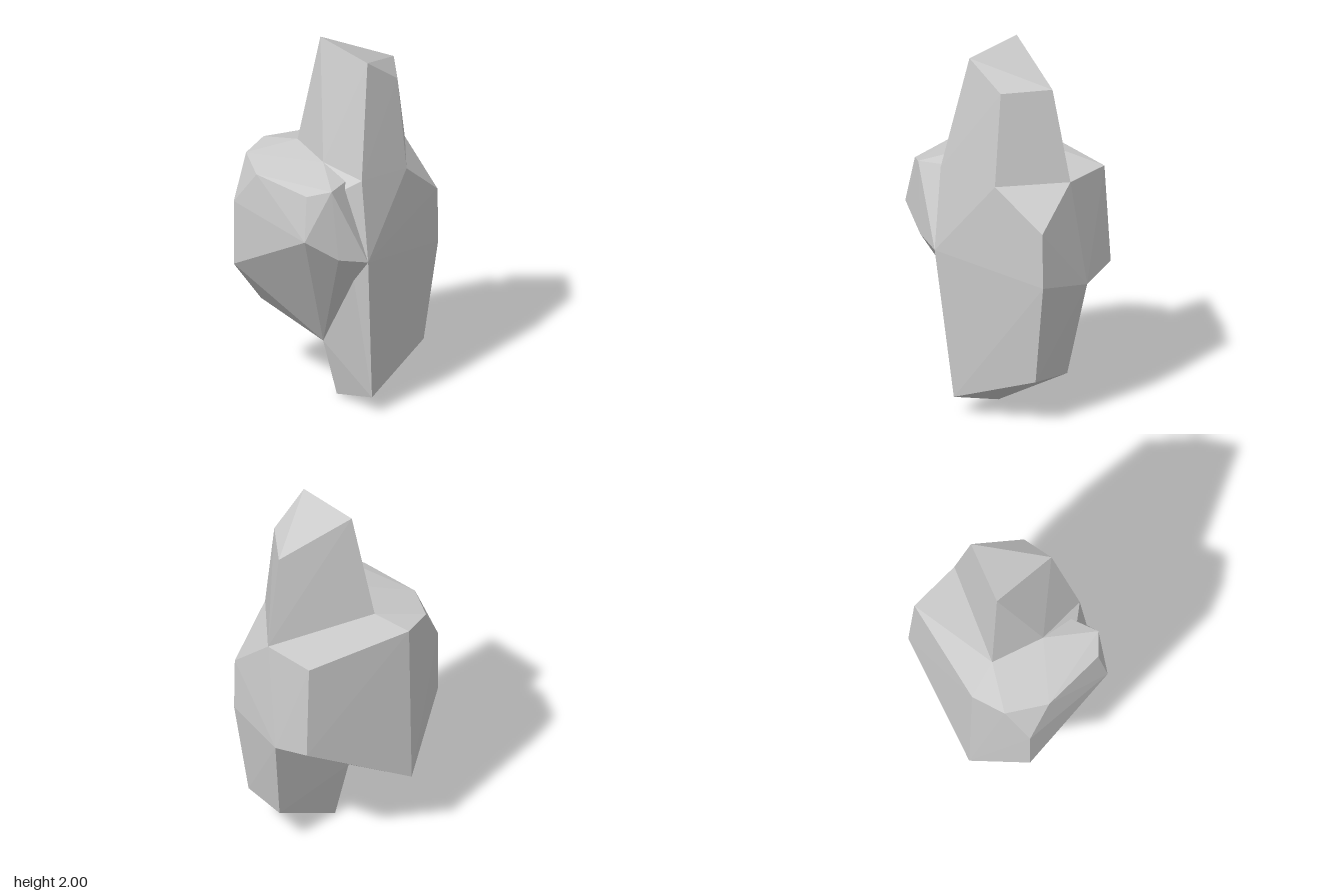
import * as THREE from 'three';
import { ConvexGeometry } from 'three/addons/geometries/ConvexGeometry.js';

// Corner points shared by neighbouring blocks of the rock
const frontLedge = [0.18, 1.33, 0.34];
const sideLedge = [0.44, 1.33, 0.035];
const frontRidge = [-0.16, 0.92, 0.42];
const shoulder = [-0.16, 1.37, 0.37];
const saddle = [-0.18, 1.39, 0.09];
const spireBack = [-0.1, 1.4, -0.2];
const flank = [0.475, 0.74, -0.06];
const underside = [-0.1, 0.31, 0];

const blocks = {
  // Tall tapering block on top
  spire: [
    [-0.03, 2, -0.1], [-0.04, 1.98, 0.28], [0.17, 1.83, 0.28], [0.34, 1.83, 0.06],
    frontLedge, sideLedge, spireBack, shoulder, saddle,
  ],
  // Front slab running down to the foot
  frontSlab: [
    frontLedge, sideLedge, shoulder, saddle, frontRidge, flank, underside,
    [-0.23, 1.3, 0.28], [0.45, 1.11, 0.28], [0.455, 0.81, 0.28],
    [-0.08, 0.1, 0.36], [-0.04, 0, 0.04], [0.39, 0.24, 0], [0.38, 0.26, 0.25],
  ],
  // Broad block at the back and side
  rearBoulder: [
    sideLedge, spireBack, saddle, frontRidge, flank, underside,
    [0.425, 1.33, -0.265], [0.455, 0.8, -0.28],
    [-0.16, 1.365, -0.4], [-0.16, 0.43, -0.42],
    [-0.34, 1.35, -0.335], [-0.455, 1.33, -0.125],
    [-0.475, 1.13, -0.28], [-0.475, 0.77, -0.28],
    [-0.475, 1.08, 0.275], [-0.435, 1.32, 0.245],
    [-0.34, 1.35, 0.335], [-0.31, 0.955, 0.355],
  ],
};

export function createModel() {
  const rock = new THREE.Group();
  rock.name = 'rock';
  const stone = new THREE.MeshStandardMaterial({ color: 0xcccccc, flatShading: true });
  for (const [name, points] of Object.entries(blocks)) {
    const corners = points.map((p) => new THREE.Vector3(...p));
    const mesh = new THREE.Mesh(new ConvexGeometry(corners), stone);
    mesh.name = name;
    rock.add(mesh);
  }
  return rock;
}
